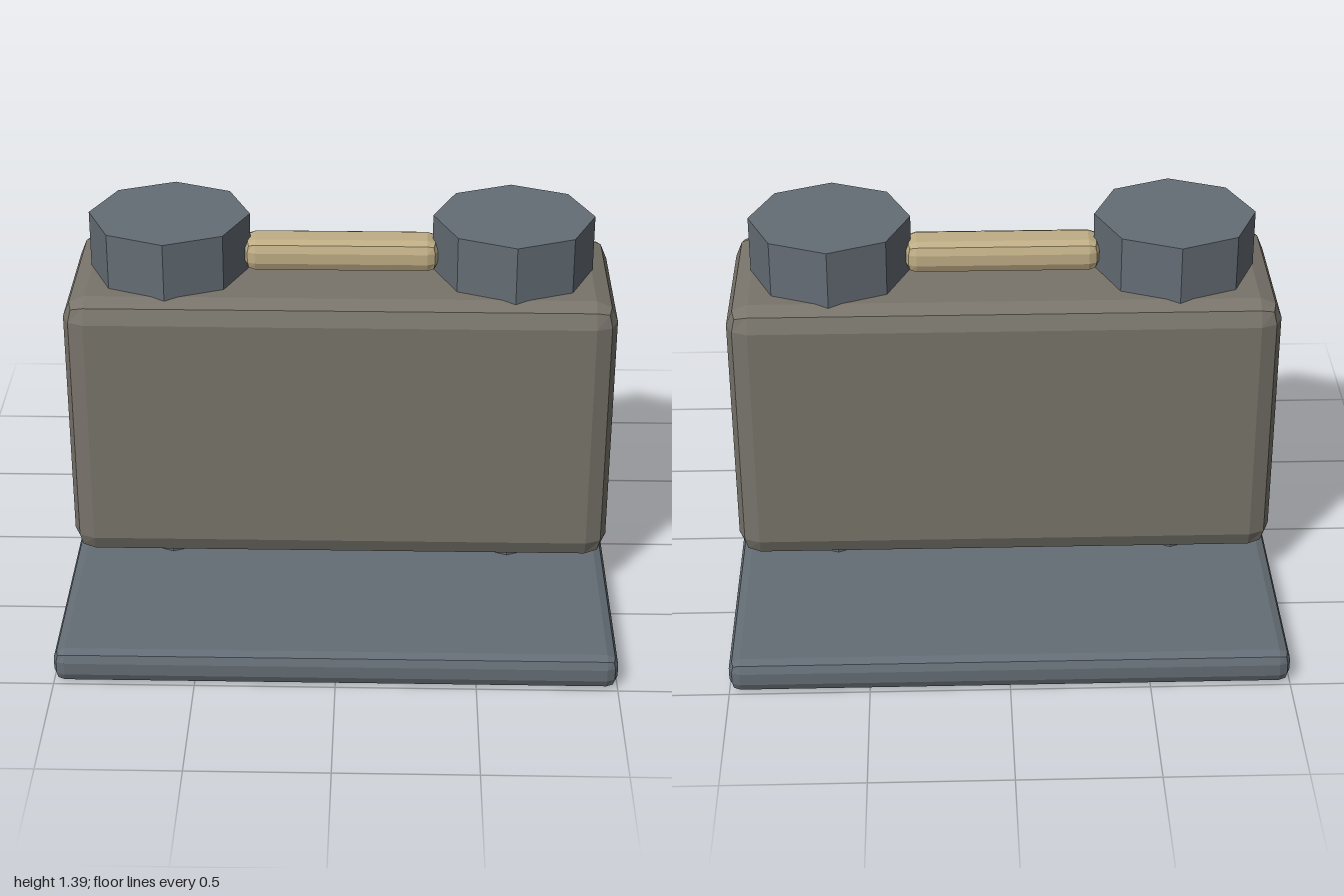
import * as THREE from 'three';
import { RoundedBoxGeometry } from 'three/addons/geometries/RoundedBoxGeometry.js';

function makeMaterial(name, color) {
  const material = new THREE.MeshStandardMaterial({ color, flatShading: true });
  material.name = name;
  return material;
}

export function createModel() {
  const group = new THREE.Group();
  group.name = 'model';
  const steel = makeMaterial('blue grey steel', 0x646d75);
  const stone = makeMaterial('warm grey', 0x78746b);
  const tan = makeMaterial('tan', 0xbfad85);

  function add(name, geometry, material, x, y) {
    const mesh = new THREE.Mesh(geometry, material);
    mesh.name = name;
    mesh.position.set(x, y, 0);
    group.add(mesh);
  }

  // Box with softly bevelled edges, spanning bottom to top
  function addBox(name, width, bottom, top, depth, radius, material) {
    const geometry = new RoundedBoxGeometry(width, top - bottom, depth, 1, radius);
    add(name, geometry, material, 0, (bottom + top) / 2);
  }

  addBox('basePlate', 2, 0, 0.125, 2, 0.04, steel);
  addBox('body', 2, 0.135, 1.18, 0.71, 0.08, stone);
  addBox('handle', 0.71, 1.185, 1.305, 0.16, 0.04, tan);

  // Octagonal posts pass through the body down to the plate
  const bottom = 0.1, top = 1.39;
  for (const side of [-1, 1]) {
    add(side > 0 ? 'leftPost' : 'rightPost',
      new THREE.CylinderGeometry(0.295, 0.295, top - bottom, 8),
      steel, side * 0.63, (bottom + top) / 2);
  }
  return group;
}
